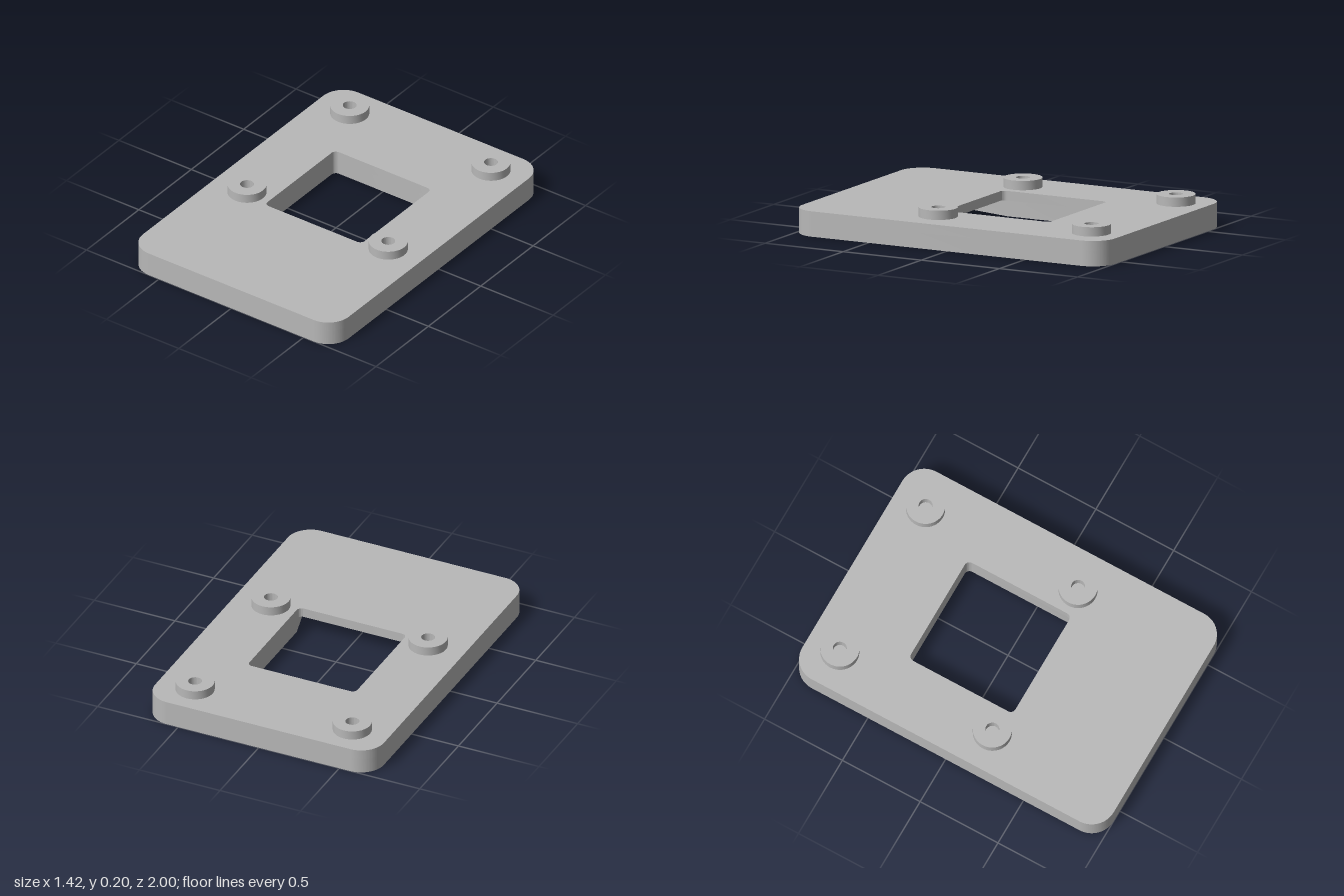
import * as THREE from 'three';
import { toCreasedNormals } from 'three/addons/utils/BufferGeometryUtils.js';

const HALF_W = 0.71, PLATE_TOP = 0.145, LIP_BOTTOM = 0.09, BOSS_TOP = 0.198;
const WIN = { x: 0.335, back: -0.45, front: 0.22, r: 0.03 };
const RAMP = { x: 0.49, z: 0.77 }; // front end of the underside ramp

// Outlines are drawn in plan with shape y = -z
function roundedRect(path, hx, back, front, r) {
  const y0 = -front, y1 = -back;
  path.moveTo(hx, y0 + r);
  path.lineTo(hx, y1 - r);
  path.absarc(hx - r, y1 - r, r, 0, Math.PI / 2);
  path.lineTo(-hx + r, y1);
  path.absarc(-hx + r, y1 - r, r, Math.PI / 2, Math.PI);
  path.lineTo(-hx, y0 + r);
  path.absarc(-hx + r, y0 + r, r, Math.PI, Math.PI * 1.5);
  path.lineTo(hx - r, y0);
  path.absarc(hx - r, y0 + r, r, Math.PI * 1.5, Math.PI * 2);
  return path;
}

// Window outline that flares out into the ramp pocket
function pocketOutline() {
  const { x, back, front, r } = WIN, y1 = -back;
  const p = new THREE.Path();
  p.moveTo(x, -front + r);
  p.lineTo(x, y1 - r);
  p.absarc(x - r, y1 - r, r, 0, Math.PI / 2);
  p.lineTo(-x + r, y1);
  p.absarc(-x + r, y1 - r, r, Math.PI / 2, Math.PI);
  p.lineTo(-x, -front + r);
  p.lineTo(-RAMP.x, -RAMP.z);
  p.lineTo(RAMP.x, -RAMP.z);
  p.closePath();
  return p;
}

// Extrudes a plan outline upward between two heights
function slab(shape, y0, y1) {
  const geo = new THREE.ExtrudeGeometry(shape, {
    depth: y1 - y0, bevelEnabled: false, curveSegments: 20,
  });
  geo.rotateX(-Math.PI / 2).translate(0, y0, 0);
  return toCreasedNormals(geo, 0.6);
}

export function createModel() {
  const model = new THREE.Group();
  const grey = new THREE.MeshStandardMaterial({ color: 0xb8b8b8 });
  grey.name = 'grey';
  const add = (name, geo) => {
    const mesh = new THREE.Mesh(geo, grey);
    mesh.name = name;
    model.add(mesh);
  };

  // Upper plate layer with the square window
  const upper = roundedRect(new THREE.Shape(), HALF_W, -1, 1, 0.14);
  upper.holes.push(roundedRect(new THREE.Path(), WIN.x, WIN.back, WIN.front, WIN.r));
  add('upperPlate', slab(upper, LIP_BOTTOM, PLATE_TOP));

  // Lower plate layer with the flared pocket
  const lower = roundedRect(new THREE.Shape(), HALF_W, -1, 1, 0.14);
  lower.holes.push(pocketOutline());
  add('lowerPlate', slab(lower, 0, LIP_BOTTOM));

  // Sloping roof of the pocket, facing down
  const t = WIN.r / (RAMP.z - WIN.front + WIN.r);
  const xi = WIN.x + (RAMP.x - WIN.x) * t;
  const ramp = new THREE.BufferGeometry();
  ramp.setAttribute('position', new THREE.Float32BufferAttribute([
    -xi, LIP_BOTTOM, WIN.front, xi, LIP_BOTTOM, WIN.front,
    RAMP.x, 0, RAMP.z, -RAMP.x, 0, RAMP.z,
  ], 3));
  ramp.setIndex([0, 1, 2, 0, 2, 3]);
  ramp.computeVertexNormals();
  add('undersideRamp', ramp);

  // Four ring bosses with blind holes
  for (const side of [1, -1]) {
    for (const [row, z] of [['rear', -0.805], ['middle', 0.175]]) {
      const ring = new THREE.Shape().absarc(0, 0, 0.11, 0, Math.PI * 2);
      ring.holes.push(new THREE.Path().absarc(0, 0, 0.039, 0, Math.PI * 2));
      const geo = slab(ring, PLATE_TOP, BOSS_TOP).translate(side * 0.488, 0, z);
      add(`${row}Boss${side > 0 ? 'Left' : 'Right'}`, geo);
    }
  }
  return model;
}
